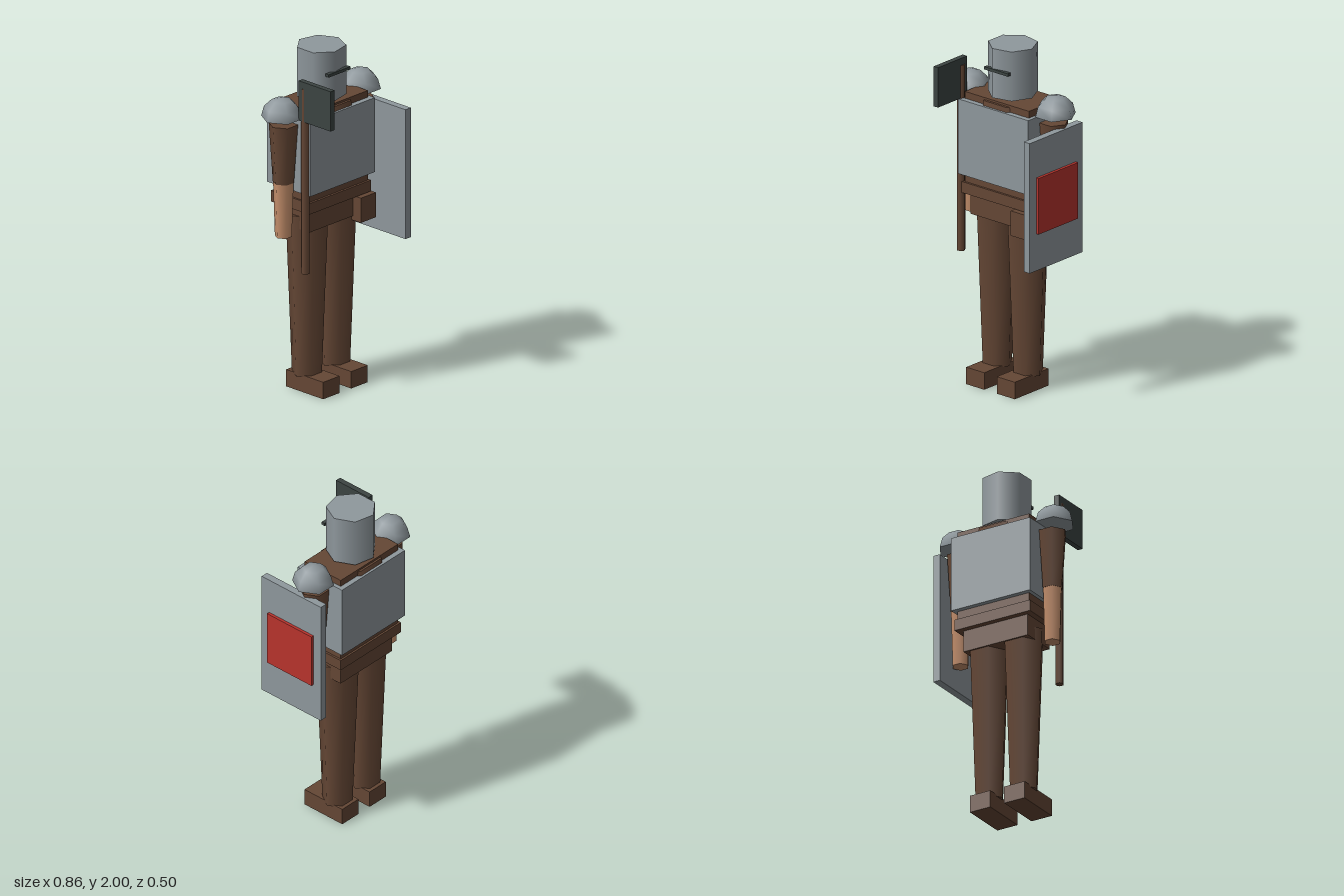
import * as THREE from 'three';

const paint = (name, color) => {
  const m = new THREE.MeshStandardMaterial({ color });
  m.name = name;
  return m;
};

export function createModel() {
  const leather = paint('brown leather', 0x654735);
  const steel = paint('steel', 0x8f989d);
  const iron = paint('dark iron', 0x3c4442);
  const skin = paint('skin', 0xc6906c);
  const red = paint('red', 0xb8332d);
  const model = new THREE.Group();
  model.name = 'soldier';
  const MID = -0.088; // depth of the body's centre line

  const add = (parent, name, geometry, material) => {
    const mesh = new THREE.Mesh(geometry, material);
    mesh.name = name;
    parent.add(mesh);
    return mesh;
  };
  // Box given by its limits on each axis
  const box = (parent, name, material, [x0, x1], [y0, y1], [z0, z1]) =>
    add(parent, name, new THREE.BoxGeometry(x1 - x0, y1 - y0, z1 - z0), material)
      .position.set((x0 + x1) / 2, (y0 + y1) / 2, (z0 + z1) / 2);
  // Upright prism with one corner pointing to +x
  const post = (parent, name, material, x, z, [y0, y1], rBottom, rTop, sides = 6) =>
    add(parent, name, new THREE.CylinderGeometry(rTop, rBottom, y1 - y0, sides).rotateY(Math.PI / 2), material)
      .position.set(x, (y0 + y1) / 2, z);

  // Trunk
  box(model, 'torso', leather, [-0.234, 0.234], [1.1, 1.695], [-0.223, 0.045]);
  box(model, 'breastplate', steel, [-0.257, 0.257], [1.215, 1.655], [-0.253, 0.077]);
  post(model, 'collar', leather, 0, MID, [1.62, 1.683], 0.18, 0.17);
  box(model, 'belt', leather, [-0.246, 0.246], [1.1, 1.165], [-0.234, 0.058]);
  box(model, 'hips', leather, [-0.21, 0.21], [0.975, 1.1], [-0.2, 0.025]);
  box(model, 'beltPouch', leather, [0.136, 0.257], [0.95, 1.096], [0.0, 0.085]);

  // Head
  post(model, 'neck', skin, 0, MID, [1.66, 1.74], 0.055, 0.055);
  post(model, 'helmet', steel, 0, MID, [1.71, 2], 0.14, 0.14, 7);
  box(model, 'visorSlit', iron, [-0.087, 0.087], [1.864, 1.881], [0.03, 0.053]);

  // Limbs
  for (const [side, s] of [['left', 1], ['right', -1]]) {
    const leg = new THREE.Group();
    leg.name = side + 'Leg';
    post(leg, side + 'Trouser', leather, s * 0.1125, MID, [0.09, 1.05], 0.085, 0.121);
    box(leg, side + 'Boot', leather, [s * 0.1115 - 0.066, s * 0.1115 + 0.066], [0, 0.1], [-0.183, 0.098]);

    const arm = new THREE.Group();
    arm.name = side + 'Arm';
    post(arm, side + 'Sleeve', leather, s * 0.3, MID, [1.27, 1.615], 0.06, 0.083);
    post(arm, side + 'Forearm', skin, s * 0.3, MID, [0.95, 1.27], 0.048, 0.058);
    const dome = new THREE.SphereGeometry(0.117, 6, 3, 0, Math.PI * 2, 0, Math.PI / 2);
    add(arm, side + 'Pauldron', dome, steel).position.set(s * 0.312, 1.656, MID);
    const underside = new THREE.CircleGeometry(0.117, 6).rotateX(Math.PI / 2);
    add(arm, side + 'PauldronUnderside', underside, steel).position.set(s * 0.312, 1.656, MID);
    model.add(leg, arm);
  }

  // Axe in the right hand
  const axe = new THREE.Group();
  axe.name = 'axe';
  post(axe, 'axeHandle', leather, -0.262, 0.044, [0.755, 1.848], 0.024, 0.024);
  box(axe, 'axeBlade', iron, [-0.281, -0.249], [1.655, 1.89], [0.01, 0.252]);

  // Shield on the left arm
  const shield = new THREE.Group();
  shield.name = 'shield';
  box(shield, 'shieldBoard', steel, [0.35, 0.393], [0.83, 1.595], [-0.22, 0.22]);
  box(shield, 'shieldPanel', red, [0.39, 0.41], [1.048, 1.378], [-0.165, 0.165]);
  model.add(axe, shield);

  return model;
}
